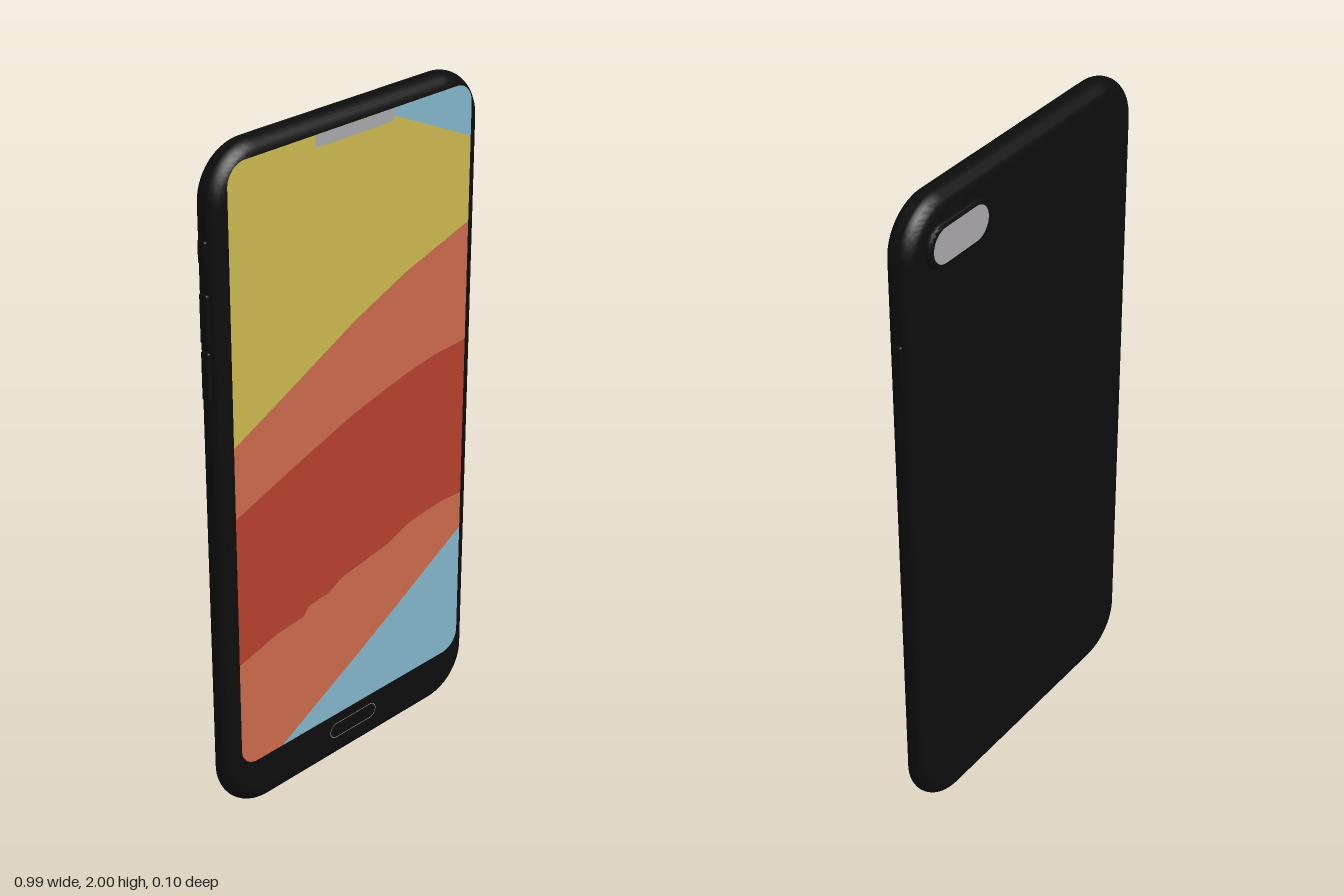
import * as THREE from 'three';
import { toCreasedNormals } from 'three/addons/utils/BufferGeometryUtils.js';
import { RoundedBoxGeometry } from 'three/addons/geometries/RoundedBoxGeometry.js';

function material(name, color) {
  const m = new THREE.MeshStandardMaterial({ color });
  m.name = name;
  return m;
}

// Rounded rectangle centred on the origin
function roundedRect(w, h, r, Type = THREE.Shape) {
  const s = new Type(), x = w / 2 - r, y = h / 2 - r;
  s.absarc(x, y, r, 0, Math.PI / 2);
  s.absarc(-x, y, r, Math.PI / 2, Math.PI);
  s.absarc(-x, -y, r, Math.PI, Math.PI * 1.5);
  s.absarc(x, -y, r, Math.PI * 1.5, Math.PI * 2);
  s.closePath();
  return s;
}

// Slab with rounded edges, centred in z
function roundedSlab(w, h, r, thickness, bevel) {
  const depth = thickness - 2 * bevel;
  const g = new THREE.ExtrudeGeometry(roundedRect(w, h, r), {
    depth, bevelEnabled: true, bevelThickness: bevel, bevelSize: bevel,
    bevelOffset: -bevel, bevelSegments: 8, curveSegments: 14,
  });
  g.translate(0, 0, -depth / 2);
  return toCreasedNormals(g, 0.6);
}

// Thin capsule outline
function ring(w, h, line) {
  const s = roundedRect(w, h, h / 2 - 0.0001);
  const w2 = w - 2 * line, h2 = h - 2 * line;
  s.holes.push(roundedRect(w2, h2, h2 / 2 - 0.0001, THREE.Path));
  return new THREE.ShapeGeometry(s, 10);
}

// Linear interpolation through [x, y] points
function curve(points) {
  return (x) => {
    let i = 1;
    while (i < points.length - 1 && x > points[i][0]) i++;
    const [x0, y0] = points[i - 1], [x1, y1] = points[i];
    return y0 + ((x - x0) / (x1 - x0)) * (y1 - y0);
  };
}

// Screen outline
const HALF = 0.445, BOTTOM = 0.16, TOP = 1.96, CORNER = 0.06, SCREEN_Z = 0.05;
function cornerInset(x) {
  const d = Math.max(0, Math.abs(x) - (HALF - CORNER));
  return CORNER - Math.sqrt(Math.max(0, CORNER * CORNER - d * d));
}

// Flat band of the screen between two curves, clipped to the rounded outline
function band(lower, upper) {
  const n = 120, pos = [], idx = [];
  for (let i = 0; i <= n; i++) {
    const x = HALF * Math.sin((i / n - 0.5) * Math.PI), c = cornerInset(x);
    for (const f of [lower, upper]) {
      pos.push(x, THREE.MathUtils.clamp(f(x), BOTTOM + c, TOP - c), SCREEN_Z);
    }
    if (i < n) {
      const a = 2 * i;
      idx.push(a, a + 2, a + 3, a, a + 3, a + 1);
    }
  }
  const g = new THREE.BufferGeometry();
  g.setAttribute('position', new THREE.Float32BufferAttribute(pos, 3));
  g.setAttribute('normal', new THREE.Float32BufferAttribute(pos.map((_, i) => (i % 3 === 2 ? 1 : 0)), 3));
  g.setIndex(idx);
  return g;
}

export function createModel() {
  const phone = new THREE.Group();
  phone.name = 'phone';
  const black = material('black case', 0x0d0d0d);
  const grey = material('light grey', 0xa8a6aa);
  const yellow = material('yellow', 0xcab850);
  const orange = material('orange', 0xca6a4a);
  const red = material('red', 0xb5402c);
  const blue = material('sky blue', 0x82b4ca);

  const add = (name, geometry, mat, x = 0, y = 0, z = 0) => {
    const mesh = new THREE.Mesh(geometry, mat);
    mesh.name = name;
    mesh.position.set(x, y, z);
    phone.add(mesh);
    return mesh;
  };

  // Case with fully rounded sides
  add('body', roundedSlab(0.98, 2, 0.15, 0.0885, 0.044), black, 0, 1, 0.0043);

  // Wallpaper boundaries from bottom to top
  const edges = [
    () => BOTTOM,
    curve([[-0.29, 0.16], [0, 0.32], [0.2, 0.435], [0.445, 0.58]]),
    curve([[-0.445, 0.505], [-0.3, 0.545], [-0.2, 0.555], [-0.18, 0.58], [-0.1, 0.59],
      [-0.05, 0.617], [0.13, 0.648], [0.23, 0.685], [0.36, 0.7], [0.445, 0.697]]),
    curve([[-0.445, 0.967], [-0.2, 1.055], [0, 1.122], [0.2, 1.17], [0.32, 1.19], [0.445, 1.197]]),
    curve([[-0.445, 1.18], [-0.2, 1.3], [0, 1.4], [0.2, 1.482], [0.445, 1.557]]),
    curve([[0.13, 1.945], [0.445, 1.805]]),
    () => TOP,
  ];
  const bands = [['lowerSky', blue], ['lowerOrange', orange], ['redBand', red],
    ['upperOrange', orange], ['yellowBand', yellow], ['upperSky', blue]];
  bands.forEach(([name, mat], i) => add(name, band(edges[i], edges[i + 1]), mat));

  // Speaker notch at the top of the screen
  const notch = new THREE.Shape();
  notch.moveTo(-0.145, 1.96);
  notch.lineTo(-0.145, 1.937);
  notch.quadraticCurveTo(-0.145, 1.925, -0.13, 1.925);
  notch.lineTo(0.13, 1.925);
  notch.quadraticCurveTo(0.145, 1.925, 0.145, 1.937);
  notch.lineTo(0.145, 1.96);
  add('speakerNotch', new THREE.ShapeGeometry(notch), grey, 0, 0, SCREEN_Z + 0.001);

  // Home button outline and charging port outline
  add('homeButton', ring(0.188, 0.05, 0.002), grey, -0.002, 0.102, SCREEN_Z);
  add('chargingPort', ring(0.11, 0.022, 0.002), grey, 0, -0.0005, 0.004).rotation.x = Math.PI / 2;

  // Camera bump and its glass on the back
  add('cameraBump', roundedSlab(0.258, 0.128, 0.0635, 0.03, 0.012), black, 0.298, 1.868, -0.038);
  const glass = new THREE.ShapeGeometry(roundedRect(0.222, 0.1, 0.0499), 14);
  add('cameraGlass', glass, grey, 0.298, 1.868, -0.0538).rotation.y = Math.PI;

  // Side buttons: [name, side, lowest y, highest y]
  const buttons = [['powerButton', 1, 1.49, 1.625], ['volumeUp', -1, 1.48, 1.62],
    ['volumeDown', -1, 1.32, 1.46], ['muteSwitch', -1, 1.7, 1.765]];
  for (const [name, side, y0, y1] of buttons) {
    add(name, new RoundedBoxGeometry(0.024, y1 - y0, 0.03, 3, 0.006), black,
      side * 0.485, (y0 + y1) / 2, 0.004);
  }
  return phone;
}
